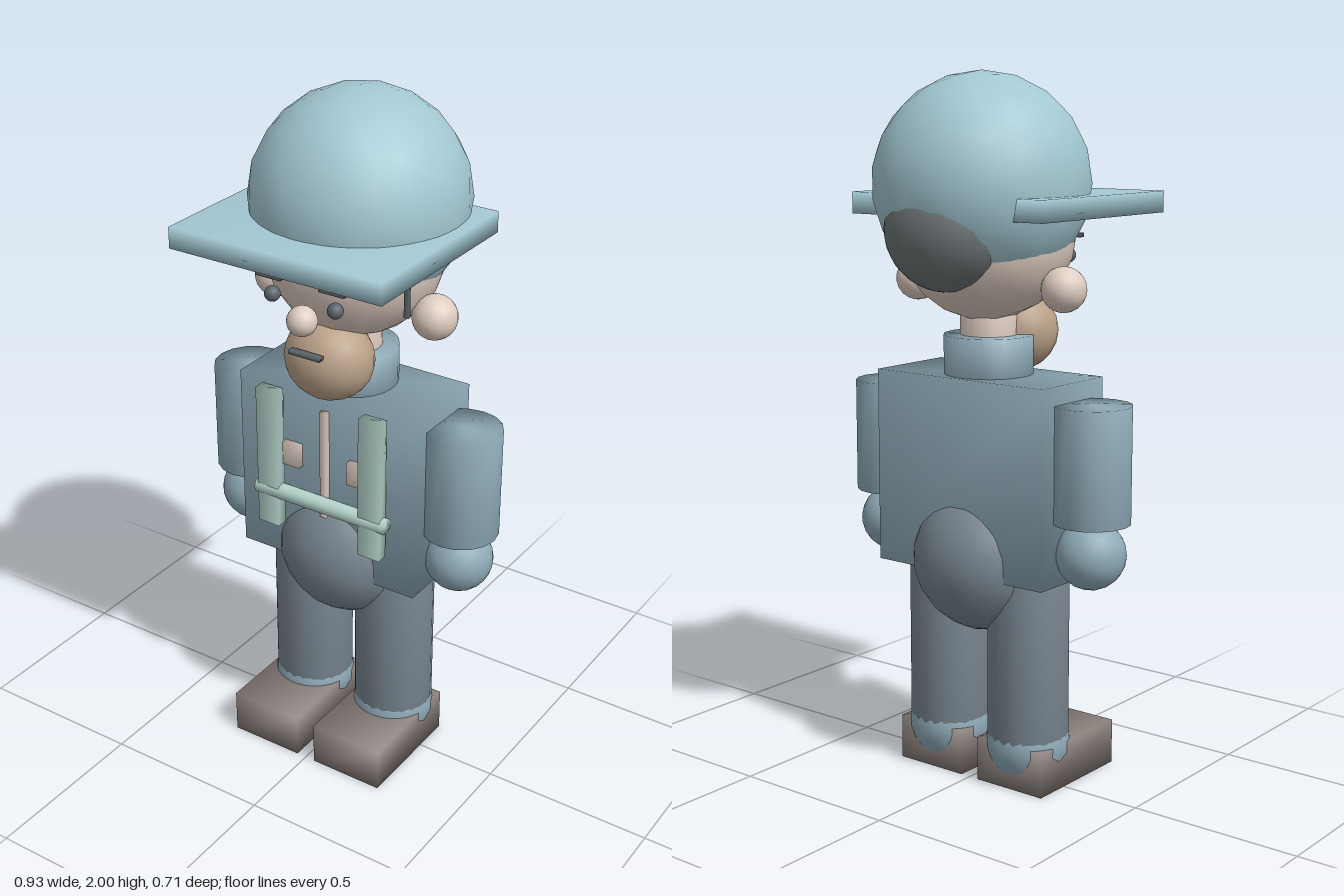
import * as THREE from 'three';
import { mergeVertices } from 'three/addons/utils/BufferGeometryUtils.js';

const paint = (color) => new THREE.MeshStandardMaterial({ color });
const helmetBlue = paint(0xa3c8d3);
const vestBlue = paint(0x8fabb8);
const trouserGrey = paint(0x78858f);
const shoeBrown = paint(0x857a76);
const skin = paint(0xdfcdc2);
const beardTan = paint(0xbaa188);
const strapGreen = paint(0xb6d6cd);
const hairGrey = paint(0x6c7476);
const dark = paint(0x5d666c);

// Weld shared corners so shading runs smoothly over every edge
function weld(geometry) {
  geometry.deleteAttribute('normal');
  geometry.deleteAttribute('uv');
  const welded = mergeVertices(geometry, 1e-5);
  welded.computeVertexNormals();
  return welded;
}

export function createModel() {
  const model = new THREE.Group();

  function add(name, geometry, material, x, y, z) {
    const mesh = new THREE.Mesh(geometry, material);
    mesh.name = name;
    mesh.position.set(x, y, z);
    model.add(mesh);
    return mesh;
  }
  const box = (name, material, [w, h, d], [x, y, z]) =>
    add(name, weld(new THREE.BoxGeometry(w, h, d)), material, x, y, z);
  const cylinder = (name, material, r, h, [x, y, z], sides = 24) =>
    add(name, weld(new THREE.CylinderGeometry(r, r, h, sides)), material, x, y, z);
  const ball = (name, material, [rx, ry, rz], [x, y, z]) => {
    const geometry = new THREE.IcosahedronGeometry(1, 3);
    geometry.rotateX(-Math.PI / 2);
    geometry.scale(rx, ry, rz);
    return add(name, weld(geometry), material, x, y, z);
  };
  const round = (r) => [r, r, r];

  // Head and helmet
  ball('head', skin, round(0.25), [0, 1.57, -0.03]);
  ball('helmet', helmetBlue, round(0.302), [0, 1.698, -0.05]);
  box('helmetBrim', helmetBlue, [0.656, 0.06, 0.57], [0, 1.64, 0.07]);
  ball('backHair', hairGrey, [0.18, 0.17, 0.152], [0, 1.58, -0.203]);

  // Face
  ball('nose', skin, round(0.042), [0, 1.437, 0.226]);
  ball('beard', beardTan, [0.13, 0.12, 0.112], [0, 1.282, 0.1]);
  box('mouth', dark, [0.1, 0.012, 0.02], [0, 1.333, 0.212]);
  box('cheekMark', dark, [0.014, 0.105, 0.01], [0.235, 1.505, 0.086]);

  // Neck and body
  cylinder('neck', skin, 0.08, 0.2, [0, 1.28, -0.02]);
  cylinder('collar', vestBlue, 0.126, 0.15, [0, 1.205, -0.02]);
  box('torso', vestBlue, [0.58, 0.555, 0.28], [0, 0.8925, -0.02]);
  ball('hips', trouserGrey, round(0.216), [0, 0.645, -0.02]);

  // Vest front
  box('zipper', skin, [0.022, 0.335, 0.02], [0, 0.957, 0.126]);
  const belt = cylinder('chestBelt', strapGreen, 0.024, 0.43, [0, 0.838, 0.146], 16);
  belt.rotation.z = Math.PI / 2;

  for (const s of [-1, 1]) {
    const side = s > 0 ? 'left' : 'right';

    // Face pairs
    ball(side + 'Ear', skin, round(0.063), [s * 0.257, 1.42, -0.02]);
    ball(side + 'Eye', dark, round(0.022), [s * 0.1, 1.488, 0.218]);
    box(side + 'Brow', dark, [0.08, 0.012, 0.02], [s * 0.1, 1.545, 0.228]);

    // Straps and pockets
    box(side + 'Strap', strapGreen, [0.07, 0.43, 0.034], [s * 0.17, 0.945, 0.148]);
    box(side + 'Pocket', skin, [0.06, 0.07, 0.03], [s * 0.11, 0.96, 0.124]);

    // Arms and hands
    cylinder(side + 'Arm', vestBlue, 0.109, 0.325, [s * 0.356, 0.955, -0.02], 16);
    ball(side + 'Hand', vestBlue, round(0.098), [s * 0.355, 0.703, -0.02]);

    // Legs, ankles and shoes
    cylinder(side + 'Leg', trouserGrey, 0.116, 0.58, [s * 0.143, 0.41, -0.021]);
    ball(side + 'Ankle', vestBlue, round(0.12), [s * 0.143, 0.121, -0.02]);
    box(side + 'Shoe', shoeBrown, [0.226, 0.13, 0.35], [s * 0.143, 0.065, 0.065]);
  }

  return model;
}
